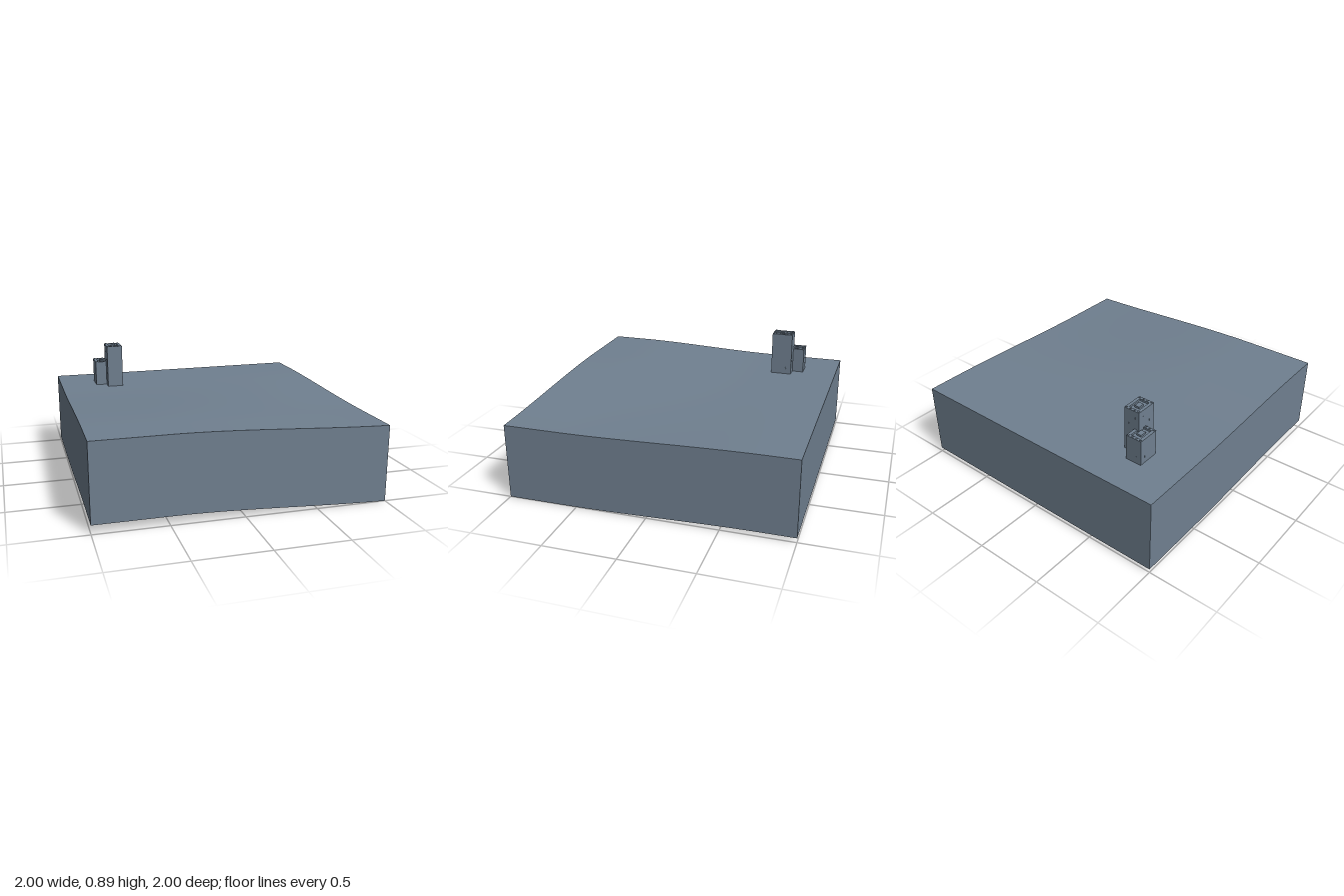
import * as THREE from 'three';

const { smoothstep, lerp } = THREE.MathUtils;
const SKIRT = 0.537;

// Gentle terrain: left and right edge profiles blended across x
function height(x, z) {
  const left = 0.563 + 0.036 * smoothstep(z, -0.45, 0.75);
  const right = 0.568 - 0.031 * smoothstep(z, -0.8, 0.6);
  return lerp(left, right, smoothstep(x, -0.5, 1.2) / 0.96);
}

export function createModel() {
  const model = new THREE.Group();
  model.name = 'terrainBlock';
  const slate = new THREE.MeshStandardMaterial({ color: 0x708090, side: THREE.DoubleSide });
  slate.name = 'slate';

  const add = (parent, name, geometry, x = 0, y = 0, z = 0) => {
    const mesh = new THREE.Mesh(geometry, slate);
    mesh.name = name;
    mesh.position.set(x, y, z);
    parent.add(mesh);
    return mesh;
  };

  // Rolling ground surface
  const ground = new THREE.PlaneGeometry(2, 2, 40, 40).rotateX(-Math.PI / 2);
  const gp = ground.attributes.position;
  for (let i = 0; i < gp.count; i++) gp.setY(i, height(gp.getX(i), gp.getZ(i)));
  ground.computeVertexNormals();
  add(model, 'ground', ground);

  // Four thin walls hanging from the ground's edge, open underneath
  ['frontWall', 'leftWall', 'backWall', 'rightWall'].forEach((name, side) => {
    const wall = new THREE.PlaneGeometry(2, 1, 40, 1).translate(0, 0, 1).rotateY(side * Math.PI / 2);
    const p = wall.attributes.position;
    for (let i = 0; i < p.count; i++) {
      const drop = p.getY(i) < 0 ? SKIRT : 0;
      p.setY(i, height(p.getX(i), p.getZ(i)) - drop);
    }
    add(model, name, wall);
  });

  // Tower with a recessed roof, a roof block, rim studs and small windows
  function addTower(name, x, z, w, d, top) {
    const tower = new THREE.Group();
    tower.name = name;
    tower.position.set(x, 0, z);
    model.add(tower);
    const base = 0.56, recess = 0.014, rim = 0.022;
    const bodyTop = top - recess;

    add(tower, 'towerBody', new THREE.BoxGeometry(w, bodyTop - base, d), 0, (bodyTop + base) / 2, 0);

    const rect = (path, a, b) => path.moveTo(-a, -b).lineTo(a, -b).lineTo(a, b).lineTo(-a, b).closePath();
    const ring = rect(new THREE.Shape(), w / 2, d / 2);
    ring.holes.push(rect(new THREE.Path(), w / 2 - rim, d / 2 - rim));
    const parapet = new THREE.ExtrudeGeometry(ring, { depth: recess, bevelEnabled: false }).rotateX(-Math.PI / 2);
    add(tower, 'parapet', parapet, 0, bodyTop, 0);
    add(tower, 'roofBlock', new THREE.BoxGeometry(w * 0.3, recess, d * 0.3), 0, bodyTop + recess / 2, 0);

    const stud = new THREE.BoxGeometry(0.01, 0.004, 0.01);
    for (const sx of [-0.4, -0.13, 0.13, 0.4])
      for (const sz of [-1, 1])
        add(tower, 'rimStud', stud, sx * w, top + 0.002, sz * (d / 2 - 0.011));

    const pane = new THREE.BoxGeometry(0.008, 0.012, 0.002);
    for (let y = base + 0.05, row = 0; y < top - 0.03; y += 0.055, row++) {
      const shift = row % 2 ? 0.22 : -0.22;
      for (const s of [-1, 1]) {
        add(tower, 'window', pane, shift * w, y, s * d / 2);
        add(tower, 'window', pane, s * w / 2, y, shift * d).rotation.y = Math.PI / 2;
      }
    }
  }
  addTower('tallTower', -0.587, -0.585, 0.117, 0.155, 0.881);
  addTower('shortTower', -0.669, -0.668, 0.118, 0.157, 0.747);

  return model;
}
